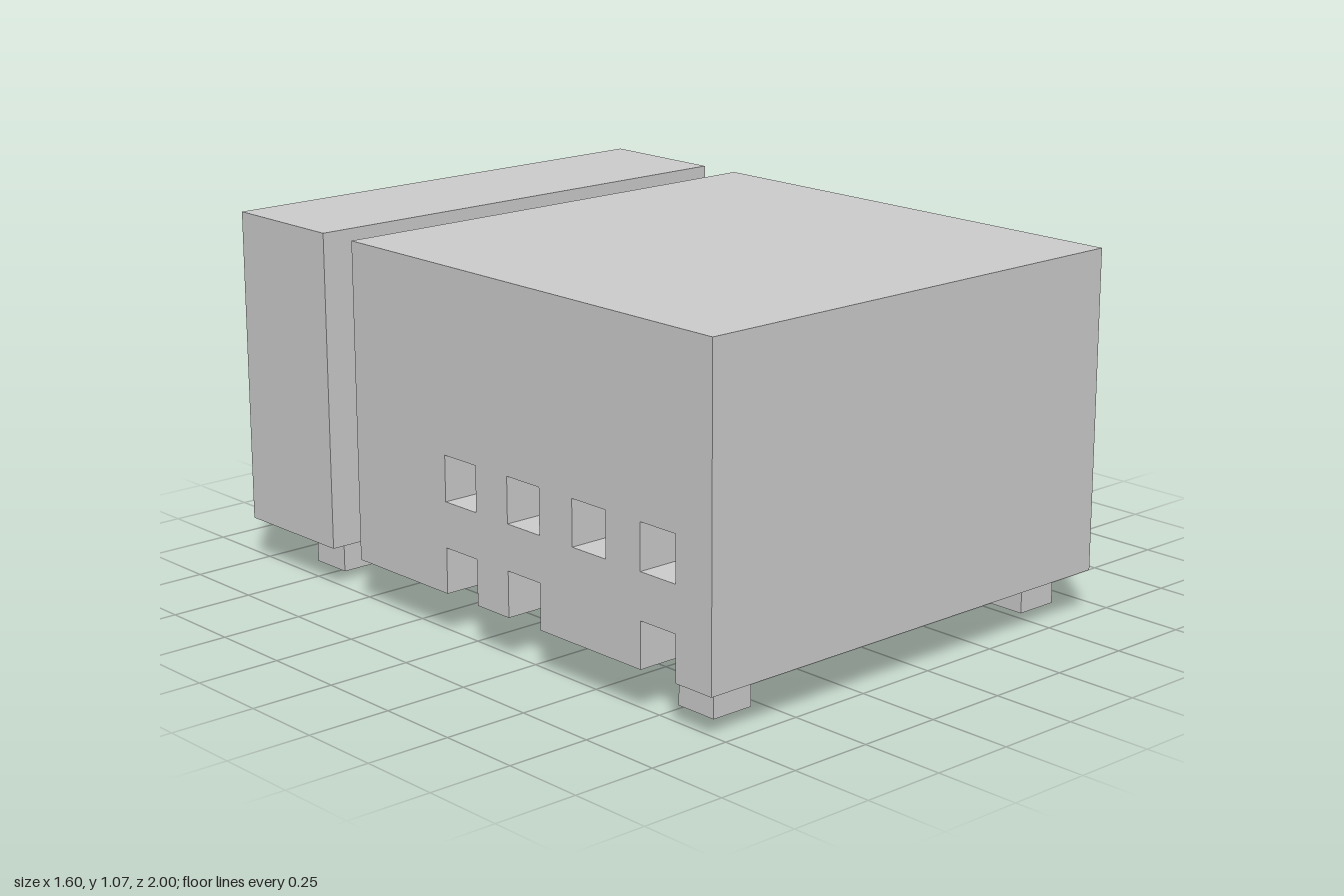
import * as THREE from 'three';

const U = 2 / 15; // one grid block

export function createModel() {
  const model = new THREE.Group();
  const material = new THREE.MeshStandardMaterial({ color: 0xcccccc, flatShading: true });

  const add = (name, geometry, parent = model) => {
    geometry.scale(U, U, U);
    const mesh = new THREE.Mesh(geometry, material);
    mesh.name = name;
    parent.add(mesh);
  };

  // Box between two corners, measured in blocks
  const box = (name, [x0, y0, z0], [x1, y1, z1], parent) => {
    const g = new THREE.BoxGeometry(x1 - x0, y1 - y0, z1 - z0);
    g.translate((x0 + x1) / 2, (y0 + y1) / 2, (z0 + z1) / 2);
    add(name, g, parent);
  };

  // Profile of [z, y] points extruded one block from x towards -x
  const sidePlate = (name, x, points, windows = []) => {
    const shape = new THREE.Shape(points.map(([z, y]) => new THREE.Vector2(z, y)));
    for (const z of windows) {
      shape.holes.push(new THREE.Path([
        new THREE.Vector2(z, 3), new THREE.Vector2(z, 4),
        new THREE.Vector2(z + 1, 4), new THREE.Vector2(z + 1, 3),
      ]));
    }
    const g = new THREE.ExtrudeGeometry(shape, { depth: 1, bevelEnabled: false });
    g.rotateY(-Math.PI / 2);
    g.translate(x, 0, 0);
    add(name, g);
  };

  // Main body, with its left-hand (-x) wall as a separate pierced plate
  box('mainBody', [-5, 1, -3.5], [5, 8, 7.5]);
  const outline = [[-3.5, 1]];
  for (const z of [-0.5, 1.5, 5.5]) outline.push([z, 1], [z, 2], [z + 1, 2], [z + 1, 1]);
  outline.push([7.5, 1], [7.5, 8], [-3.5, 8]);
  sidePlate('piercedSideWall', -5, outline, [-0.5, 1.5, 3.5, 5.5]);

  // Recessed neck and rear block
  box('neck', [-5, 1, -4.5], [4, 7, -3.5]);
  box('rearBlock', [-6, 1, -7.5], [5, 8, -4.5]);

  // Stepped handle on the side of the rear block
  sidePlate('steppedHandle', 6, [
    [-7.5, 2], [-5.5, 2], [-5.5, 3], [-4.5, 3], [-4.5, 4], [-6.5, 4], [-6.5, 3], [-7.5, 3],
  ]);

  // Feet
  const feet = new THREE.Group();
  feet.name = 'feet';
  model.add(feet);
  for (const x of [-5, 4]) {
    for (const z of [-6.5, 5.5]) box('foot', [x, 0, z], [x + 1, 1, z + 1], feet);
  }

  return model;
}
